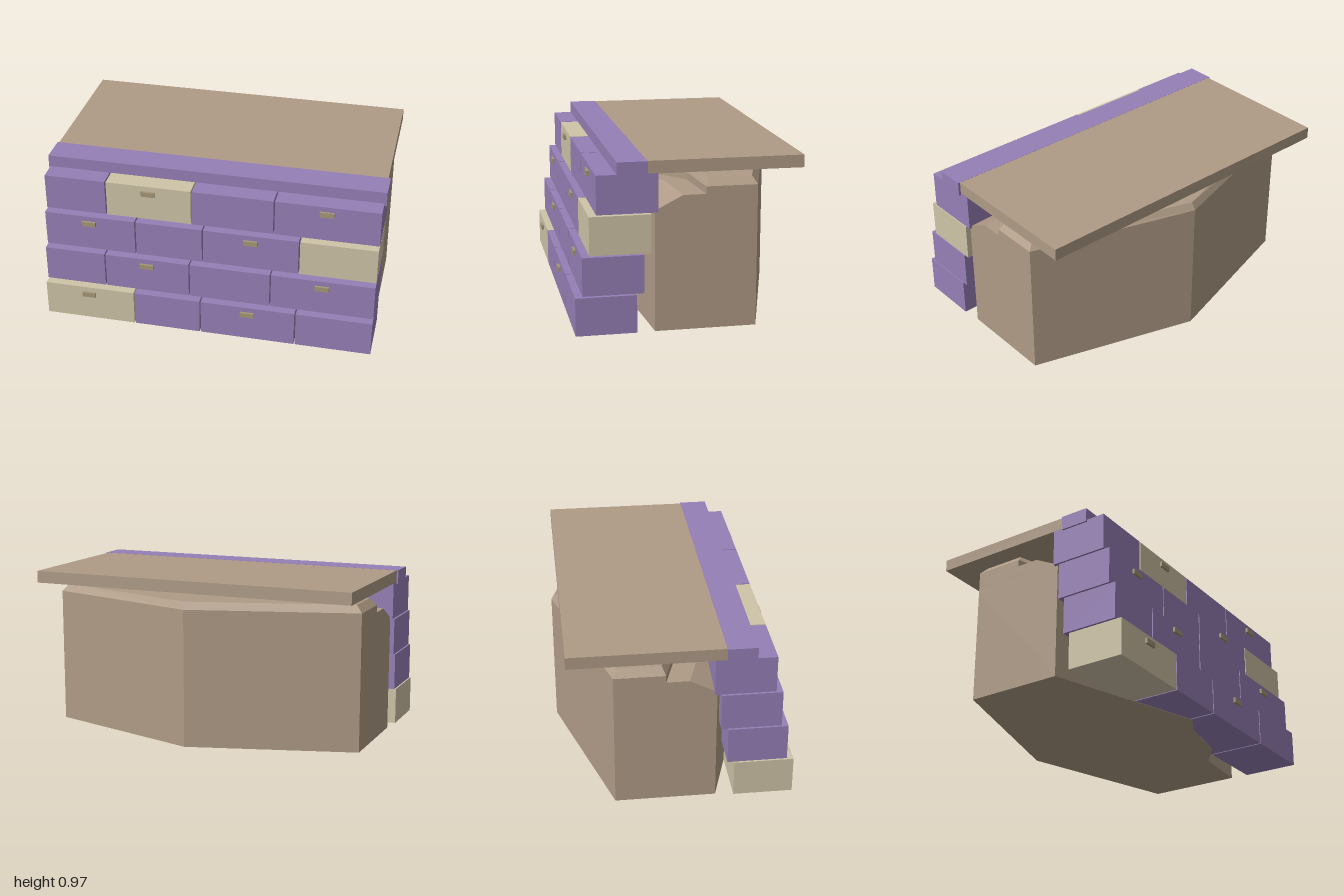
import * as THREE from 'three';

const mat = (name, color) => {
  const m = new THREE.MeshStandardMaterial({ color });
  m.name = name;
  return m;
};

// Plan of the earth core: stepped front edge, pointed back
const BACK = [[0.97, -0.37], [0, -0.663], [-0.97, -0.37]];
const FRONT = [[-0.97, 0.205], [-0.025, 0.5], [0.125, 0.42], [0.45, 0.36], [0.61, 0.235], [0.97, 0.205]];

// One horizontal ring of the core, with the front set back and the whole plan inset
function ring(y, setback, inset = 1, backShift = 0) {
  return [
    ...BACK.map(([x, z]) => [x * inset, y, z + backShift]),
    ...FRONT.map(([x, z]) => [x * inset, y, z - setback]),
  ];
}

// Joins rings from bottom to top and closes both ends, with flat facets
function loft(rings) {
  const pos = [];
  const tri = (a, b, c) => pos.push(...a, ...b, ...c);
  for (let r = 0; r < rings.length - 1; r++) {
    const lo = rings[r], hi = rings[r + 1], n = lo.length;
    for (let i = 0; i < n; i++) {
      const j = (i + 1) % n;
      tri(lo[i], lo[j], hi[i]);
      tri(lo[j], hi[j], hi[i]);
    }
  }
  const cap = (pts, up) => {
    const flat = pts.map(p => new THREE.Vector2(p[0], p[2]));
    for (const [i, j, k] of THREE.ShapeUtils.triangulateShape(flat, [])) {
      const [a, b, c] = [pts[i], pts[j], pts[k]];
      // sign of the y component of the normal
      const ny = (b[2] - a[2]) * (c[0] - a[0]) - (b[0] - a[0]) * (c[2] - a[2]);
      if ((ny > 0) === up) tri(a, b, c); else tri(a, c, b);
    }
  };
  cap(rings[0], false);
  cap(rings[rings.length - 1], true);
  const g = new THREE.BufferGeometry();
  g.setAttribute('position', new THREE.Float32BufferAttribute(pos, 3));
  g.computeVertexNormals();
  return g;
}

export function createModel() {
  const model = new THREE.Group();
  model.name = 'retainingWall';
  const purple = mat('purple stone', 0x967fb6);
  const beige = mat('beige stone', 0xcfc4a8);
  const earth = mat('brown earth', 0xaf9b86);
  const peg = mat('olive peg', 0xa59776);

  // Box given by its limits on each axis
  const box = (name, material, x0, x1, y0, y1, z0, z1, parent = model) => {
    const m = new THREE.Mesh(new THREE.BoxGeometry(x1 - x0, y1 - y0, z1 - z0), material);
    m.position.set((x0 + x1) / 2, (y0 + y1) / 2, (z0 + z1) / 2);
    m.name = name;
    parent.add(m);
  };

  // Four courses of blocks, each stepped back from the one below
  const seams = [[-0.99, -0.44, -0.035, 0.535, 0.987], [-0.99, -0.622, -0.108, 0.377, 0.987]];
  const pegX = [[-0.72, 0.25], [-0.365, 0.68]];
  const beigeBlock = [0, -1, 3, 1];
  for (let row = 0; row < 4; row++) {
    const course = new THREE.Group();
    course.name = `course${row + 1}`;
    model.add(course);
    const y = 0.004 + row * 0.2265, front = 0.65 - row * 0.04;
    const s = seams[row % 2];
    for (let i = 0; i < 4; i++) {
      const x0 = s[i] + (i > 0 ? 0.004 : 0), x1 = s[i + 1] - (i < 3 ? 0.004 : 0);
      box('block', i === beigeBlock[row] ? beige : purple, x0, x1, y, y + 0.218, front - 0.342, front, course);
    }
    // Small pegs on the face
    for (const x of pegX[row % 2]) {
      box('peg', peg, x - 0.041, x + 0.041, y + 0.157, y + 0.187, front - 0.01, front + 0.014, course);
    }
  }

  // Cap stone and ground slab behind it
  box('capStone', purple, -1, 1, 0.888, 0.972, 0.25, 0.418);
  box('groundSlab', earth, -0.99, 0.987, 0.9, 0.971, -0.625, 0.25);

  // Earth core: chamfered and notched at the upper front, bevelled on top
  const core = new THREE.Mesh(loft([
    ring(0, 0),
    ring(0.69, 0),
    ring(0.77, 0.155),
    ring(0.77, 0.285),
    ring(0.812, 0.285),
    ring(0.855, 0.305, 0.96, 0.025),
  ]), earth);
  core.name = 'earthCore';
  model.add(core);

  return model;
}
